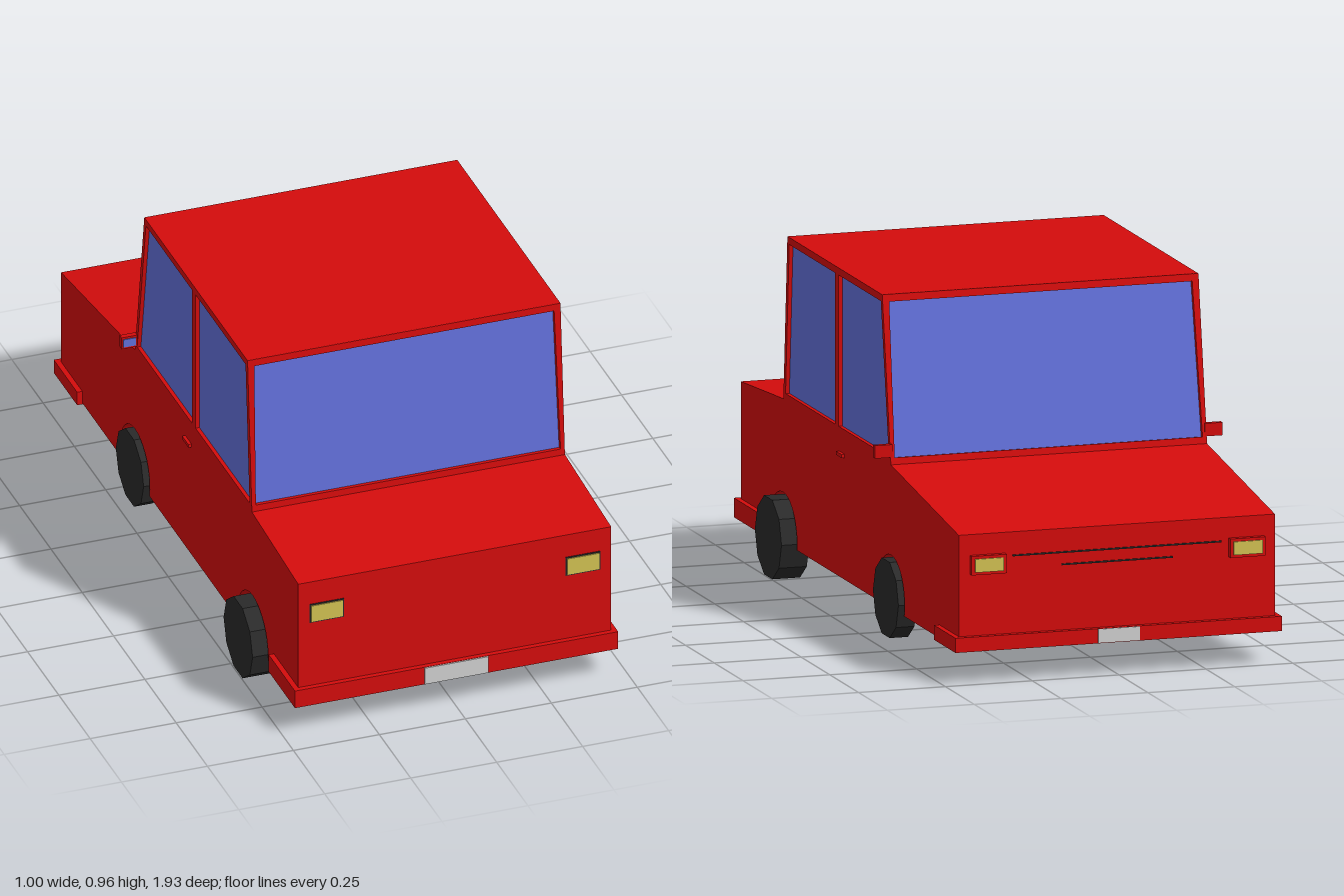
import * as THREE from 'three';

const mat = (name, color) => {
  const m = new THREE.MeshStandardMaterial({ color });
  m.name = name;
  return m;
};

export function createModel() {
  const car = new THREE.Group();
  car.name = 'car';
  const red = mat('red paint', 0xd40c0c);
  const blue = mat('blue glass', 0x6270da);
  const black = mat('black rubber', 0x2a2a2a);
  const yellow = mat('yellow lamp', 0xd2c252);
  const white = mat('plate white', 0xd0d0d0);

  const add = (name, geo, material) => {
    const mesh = new THREE.Mesh(geo, material);
    mesh.name = name;
    car.add(mesh);
    return mesh;
  };
  // Box given by its limits on each axis
  const box = (name, material, x0, x1, y0, y1, z0, z1) => {
    const mesh = add(name, new THREE.BoxGeometry(Math.abs(x1 - x0), y1 - y0, z1 - z0), material);
    mesh.position.set((x0 + x1) / 2, (y0 + y1) / 2, (z0 + z1) / 2);
    return mesh;
  };
  const poly = (pts) => new THREE.Shape(pts.map(([a, b]) => new THREE.Vector2(a, b)));
  // Extrude a (z, y) outline across x, from x0 to x1
  const sideExtrude = (shape, x0, x1) =>
    new THREE.ExtrudeGeometry(shape, { depth: x1 - x0, bevelEnabled: false, curveSegments: 10 })
      .rotateY(-Math.PI / 2).translate(x1, 0, 0);

  const wheels = [
    { name: 'wheelFront', z: 0.55, y: 0.115, r: 0.116, x0: 0.417, x1: 0.497 },
    { name: 'wheelBack', z: -0.39, y: 0.13, r: 0.111, x0: 0.417, x1: 0.47 },
  ];

  // Lower body: a narrow core and two side skins with wheel arches
  const floor = 0.1;
  const upper = [[0.915, floor], [0.915, 0.475], [0.545, 0.5], [-0.39, 0.5], [-0.98, 0.42], [-0.98, floor]];
  add('bodyCore', sideExtrude(poly(upper), -0.405, 0.405), red);
  const skin = new THREE.Shape();
  skin.moveTo(-0.98, floor);
  for (const w of [wheels[1], wheels[0]]) {
    const R = w.r + 0.008, dy = floor - w.y, h = Math.sqrt(R * R - dy * dy);
    skin.lineTo(w.z - h, floor);
    skin.absarc(w.z, w.y, R, Math.atan2(dy, -h), Math.atan2(dy, h), true);
  }
  upper.slice(0, 5).forEach(([z, y]) => skin.lineTo(z, y));
  skin.closePath();
  add('bodySideLeft', sideExtrude(skin, 0.405, 0.455), red);
  add('bodySideRight', sideExtrude(skin, -0.455, -0.405), red);

  // Cabin: glass block inside thin window frames
  const t = 0.012;
  add('cabinGlass', sideExtrude(poly([[0.533, 0.49], [0.499, 0.95], [-0.304, 0.95], [-0.378, 0.49]]), -0.444, 0.444), blue);
  box('roof', red, -0.455, 0.455, 0.942, 0.96, -0.313, 0.508);
  const sideFrame = poly([[-0.39, 0.5], [0.545, 0.5], [0.51, 0.96], [-0.315, 0.96]]);
  sideFrame.holes.push(
    poly([[0.095, 0.518], [0.095, 0.94], [0.494, 0.94], [0.526, 0.518]]),
    poly([[-0.372, 0.518], [-0.302, 0.94], [0.065, 0.94], [0.065, 0.518]]),
  );
  add('sideFrameLeft', sideExtrude(sideFrame, 0.455 - t, 0.455), red);
  add('sideFrameRight', sideExtrude(sideFrame, -0.455, -0.455 + t), red);

  const endFrame = (name, z0, z1) => {
    const len = Math.hypot(0.46, z1 - z0);
    const s = poly([[-0.455, 0], [0.455, 0], [0.455, len], [-0.455, len]]);
    s.holes.push(poly([[-0.443, 0.019], [-0.436, len - 0.02], [0.436, len - 0.02], [0.443, 0.019]]));
    const g = new THREE.ExtrudeGeometry(s, { depth: t, bevelEnabled: false }).translate(0, 0, -t);
    if (z0 < 0) g.rotateY(Math.PI);
    g.rotateX(Math.atan2(z1 - z0, 0.46)).translate(0, 0.5, z0);
    add(name, g, red);
  };
  endFrame('frontWindowFrame', 0.545, 0.51);
  endFrame('backWindowFrame', -0.39, -0.315);

  // Bumpers wrapping round the corners, with number plates
  box('frontBumper', red, -0.47, 0.47, 0.094, 0.148, 0.72, 0.93);
  box('backBumper', red, -0.47, 0.47, 0.096, 0.137, -0.997, -0.81);
  box('frontPlate', white, -0.094, 0.092, 0.096, 0.147, 0.926, 0.934);
  box('backPlate', white, -0.06, 0.06, 0.098, 0.136, -1, -0.994);

  // Parts that repeat on both sides
  for (const s of [1, -1]) {
    const side = s > 0 ? 'Left' : 'Right';
    box('frontLampRim' + side, black, s * 0.322, s * 0.423, 0.347, 0.405, 0.912, 0.917);
    box('frontLamp' + side, yellow, s * 0.326, s * 0.419, 0.351, 0.401, 0.913, 0.92);
    box('backLampRim' + side, red, s * 0.322, s * 0.423, 0.309, 0.362, -0.996, -0.976);
    box('backLamp' + side, yellow, s * 0.331, s * 0.414, 0.317, 0.354, -1, -0.993);
    box('mirror' + side, red, s * 0.45, s * 0.5, 0.52, 0.556, -0.388, -0.372);
    box('mirrorGlass' + side, blue, s * 0.46, s * 0.496, 0.526, 0.55, -0.374, -0.369);
    box('doorHandle' + side, red, s * 0.45, s * 0.464, 0.44, 0.45, 0.012, 0.062);
    for (const w of wheels) {
      const g = new THREE.CylinderGeometry(w.r, w.r, w.x1 - w.x0, 10).toNonIndexed();
      g.rotateZ(Math.PI / 2);
      g.computeVertexNormals();
      add(w.name + side, g, black).position.set(s * (w.x0 + w.x1) / 2, w.y, w.z);
    }
  }

  // Thin grille slats between the lamps
  box('grilleUpper', black, -0.3, 0.3, 0.352, 0.356, -0.984, -0.978);
  box('grilleLower', black, -0.16, 0.16, 0.318, 0.322, -0.984, -0.978);

  // Axle and tank under the floor
  box('axle', black, -0.42, 0.42, 0.084, 0.13, 0.51, 0.59);
  box('tank', black, -0.1, 0.09, 0.088, 0.12, 0.59, 0.9);

  return car;
}
